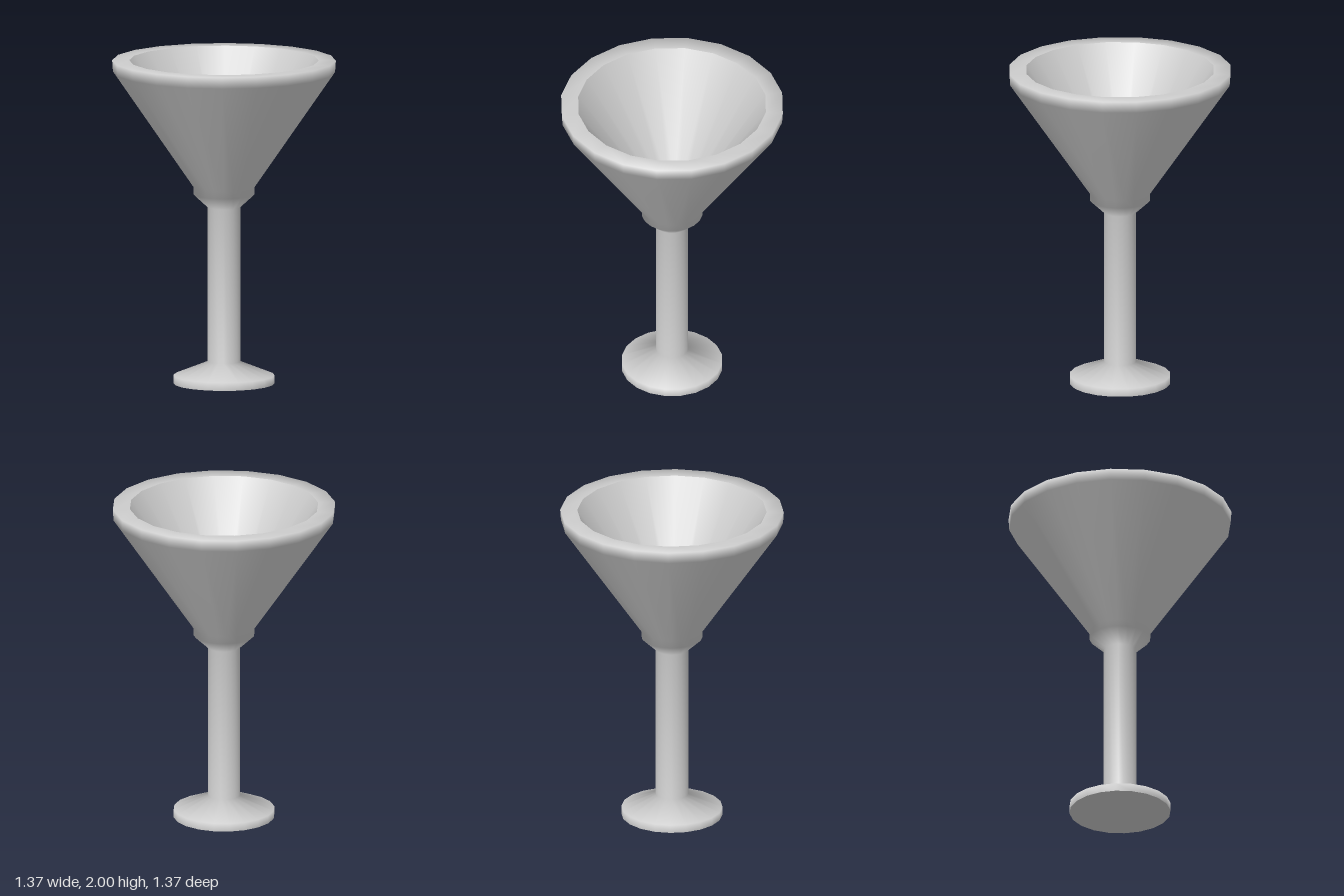
import * as THREE from 'three';

const SIDES = 20;
const material = new THREE.MeshStandardMaterial({ color: 0xcccccc });

// Revolves a [radius, height] profile around the y axis
function turned(name, profile) {
  const points = profile.map(([r, y]) => new THREE.Vector2(r, y));
  const mesh = new THREE.Mesh(new THREE.LatheGeometry(points, SIDES), material);
  mesh.name = name;
  return mesh;
}

// Flat disc, facing up (1) or down (-1)
function disc(name, radius, y, facing) {
  const geometry = new THREE.CircleGeometry(radius, SIDES);
  geometry.rotateX(-facing * Math.PI / 2);
  const mesh = new THREE.Mesh(geometry, material);
  mesh.name = name;
  mesh.position.y = y;
  return mesh;
}

export function createModel() {
  const glass = new THREE.Group();
  glass.name = 'cocktailGlass';

  // Foot, stem, collar, bowl and rim as one smooth outer skin
  glass.add(turned('footStemAndBowl', [
    [0.31, 0], [0.31, 0.05],       // foot edge
    [0.1, 0.135], [0.1, 1.09],     // stem
    [0.187, 1.17], [0.187, 1.215], // collar
    [0.68, 1.93], [0.685, 2],      // bowl
    [0.58, 2],                     // flat rim
  ]));

  // Hollow of the bowl, with crisp edges at the rim and floor
  glass.add(turned('bowlInside', [[0.58, 2], [0.12, 1.3]]));
  glass.add(disc('bowlFloor', 0.12, 1.3, 1));

  // Underside of the foot
  glass.add(disc('footUnderside', 0.31, 0, -1));

  return glass;
}
